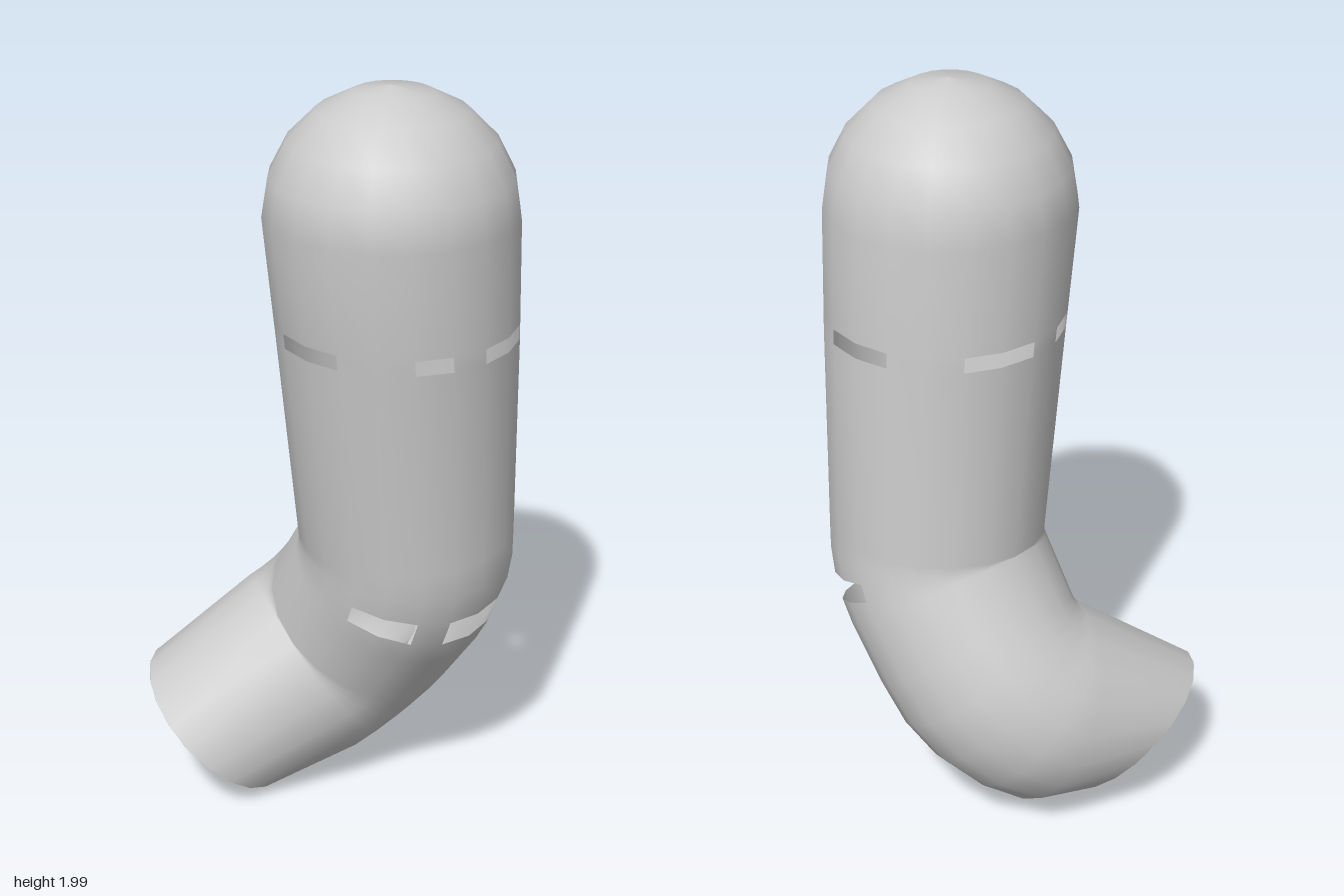
import * as THREE from 'three';

const SIDES = 20;
const V = (x, y, z) => new THREE.Vector3(x, y, z);

// Skin a list of rings {c, n, r}; gaps lists the open columns of a band by band index
function skin(rings, gaps = {}, inward = false) {
  const pos = [], full = [], kept = [];
  const u = V(1, 0, 0), v = V(0, 0, 0);
  rings.forEach(({ c, n, r }) => {
    u.addScaledVector(n, -u.dot(n)).normalize(); // carry the frame along without twist
    v.crossVectors(n, u);
    for (let j = 0; j < SIDES; j++) {
      const a = (j / SIDES) * Math.PI * 2;
      const p = c.clone().addScaledVector(u, r * Math.cos(a)).addScaledVector(v, r * Math.sin(a));
      pos.push(p.x, p.y, p.z);
    }
  });
  for (let i = 0; i < rings.length - 1; i++) {
    for (let j = 0; j < SIDES; j++) {
      const k = (j + 1) % SIDES;
      const a = i * SIDES + j, b = i * SIDES + k, c = a + SIDES, d = b + SIDES;
      const quad = inward ? [a, c, b, b, c, d] : [a, b, c, b, d, c];
      full.push(...quad);
      if (!(gaps[i] || []).includes(j)) kept.push(...quad);
    }
  }
  const g = new THREE.BufferGeometry();
  g.setAttribute('position', new THREE.Float32BufferAttribute(pos, 3));
  g.setIndex(full);
  g.computeVertexNormals(); // smooth across the open seams too
  g.setIndex(kept);
  return g;
}

// Rings fanned about the inside corner of a bend at e, from direction d1 to d2
function bend(e, d1, d2, r, steps) {
  const inner = d2.clone().sub(d1).normalize();
  const half = d1.angleTo(d2) / 2;
  const pivot = e.clone().addScaledVector(inner, (r * 1.02) / Math.cos(half));
  const rings = [];
  for (let i = 0; i <= steps; i++) {
    const turn = new THREE.Quaternion().slerp(
      new THREE.Quaternion().setFromUnitVectors(d1, d2), i / steps);
    const n = d1.clone().applyQuaternion(turn);
    const out = inner.clone().negate();
    out.addScaledVector(n, -out.dot(n)).normalize();
    rings.push({ c: pivot.clone().addScaledVector(out, r), n, r });
  }
  return rings;
}

export function createModel() {
  const group = new THREE.Group();
  group.name = 'bentPipe';
  const material = new THREE.MeshStandardMaterial({ color: 0xcccccc, side: THREE.DoubleSide });
  const add = (name, geometry) => {
    const mesh = new THREE.Mesh(geometry, material);
    mesh.name = name;
    group.add(mesh);
  };

  // Centre line: domed top, two elbows, open end
  const top = V(0.055, 1.68, 0.145);
  const elbow1 = V(0.14, 0.71, 0.14);
  const elbow2 = V(0.14, 0.37, -0.1);
  const end = { c: V(-0.21, 0.175, -0.26), n: V(-0.45, -0.72, -0.53).normalize(), r: 0.245 };
  const dir = (a, b) => b.clone().sub(a).normalize();
  const d1 = dir(top, elbow1), d2 = dir(elbow1, elbow2), d3 = dir(elbow2, end.c);

  // Dome
  const down = V(0, -1, 0);
  const rings = [];
  for (let i = 0; i <= 5; i++) {
    const a = (i / 5) * Math.PI / 2;
    rings.push({
      c: top.clone().add(V(0, 0.32 * Math.cos(a), 0)), n: down,
      r: Math.max(0.0005, 0.32 * Math.sin(a)),
    });
  }

  // Broken seam round the upper pipe
  const gaps = {};
  gaps[rings.length] = [0, 3, 4, 6, 9, 10, 13, 15, 16, 19];
  for (const y of [1.405, 1.365]) {
    const t = (top.y - y) / (top.y - elbow1.y);
    rings.push({ c: top.clone().lerp(elbow1, t), n: down, r: 0.32 - 0.035 * t });
  }

  // Elbows, with a split across the front of the first
  gaps[rings.length + 2] = [0, 1, 2, 3, 4, 5, 7, 8];
  rings.push(...bend(elbow1, d1, d2, 0.285, 4));
  const lower = bend(elbow2, d2, d3, 0.28, 4);
  rings.push(...lower, end);
  add('pipeShell', skin(rings, gaps));

  // Flat rim and bore of the open end
  const boreEnd = { ...end, r: 0.15 };
  add('endRim', skin([end, boreEnd]));
  add('bore', skin([...lower.map((ring) => ({ ...ring, r: 0.15 })), boreEnd], {}, true));
  return group;
}
